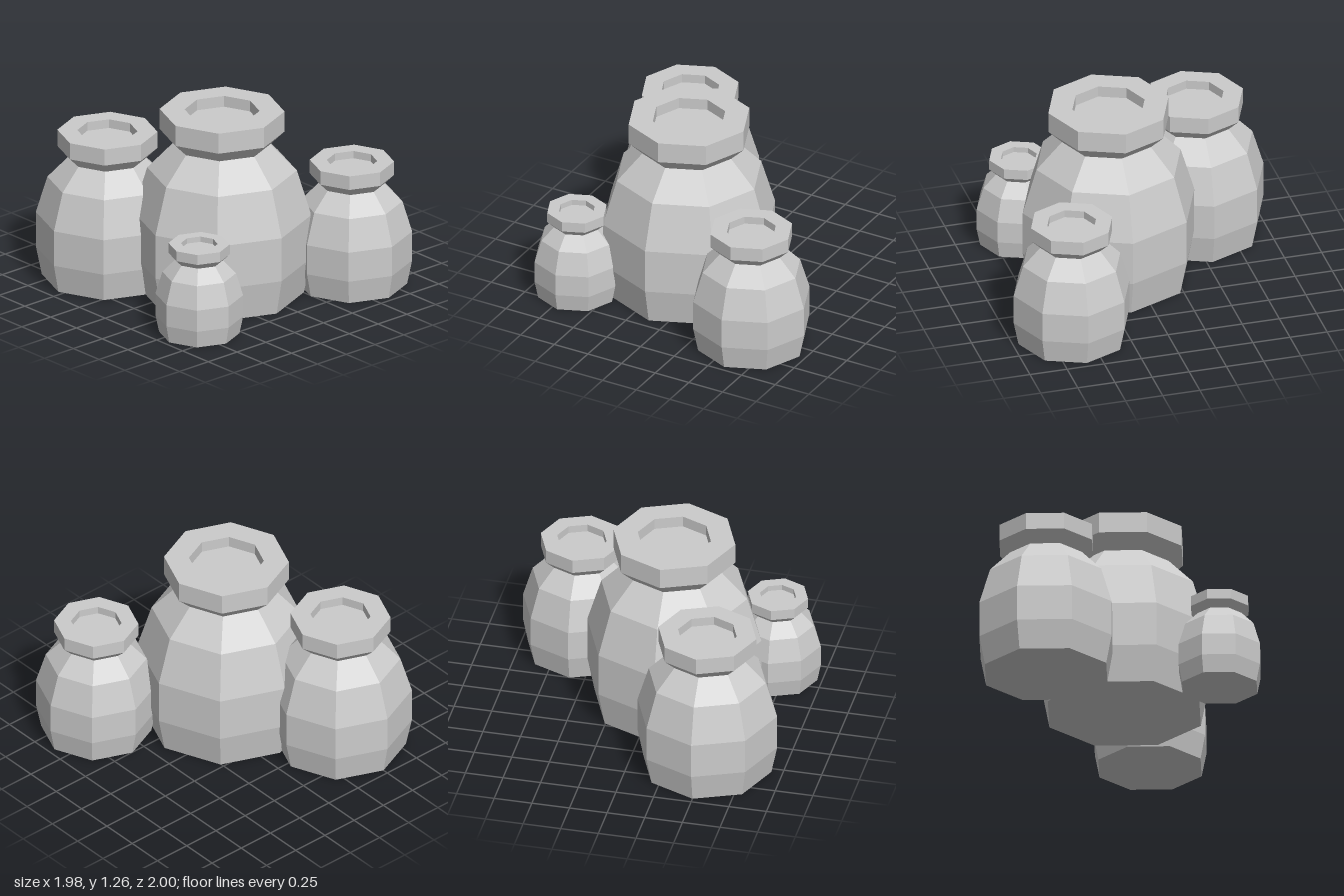
import * as THREE from 'three';

// Octagonal pot profile at full size: [radius, height], from base centre to mouth floor
const PROFILE = [
  [0, 0], [0.53, 0], [0.578, 0.24], [0.578, 0.54], [0.485, 0.85], // body
  [0.313, 1.03], [0.405, 1.12], [0.405, 1.26],                    // neck and rim
  [0.243, 1.26], [0.243, 1.185], [0, 1.185],                      // recessed mouth
].map(([r, y]) => new THREE.Vector2(r, y));

// Name, x, z, scale of each pot in the cluster
const POTS = [
  ['largePot', -0.12, 0.15, 1],
  ['backPot', -0.5, -0.538, 0.802],
  ['frontLeftPot', 0.6, 0.605, 0.675],
  ['smallFrontRightPot', -0.707, 0.585, 0.492],
];

export function createModel() {
  const group = new THREE.Group();
  group.name = 'potCluster';
  const material = new THREE.MeshStandardMaterial({ color: 0xcccccc, flatShading: true });
  const geometry = new THREE.LatheGeometry(PROFILE, 8);

  for (const [name, x, z, scale] of POTS) {
    const pot = new THREE.Mesh(geometry, material);
    pot.name = name;
    pot.position.set(x, 0, z);
    pot.scale.setScalar(scale);
    group.add(pot);
  }
  return group;
}
